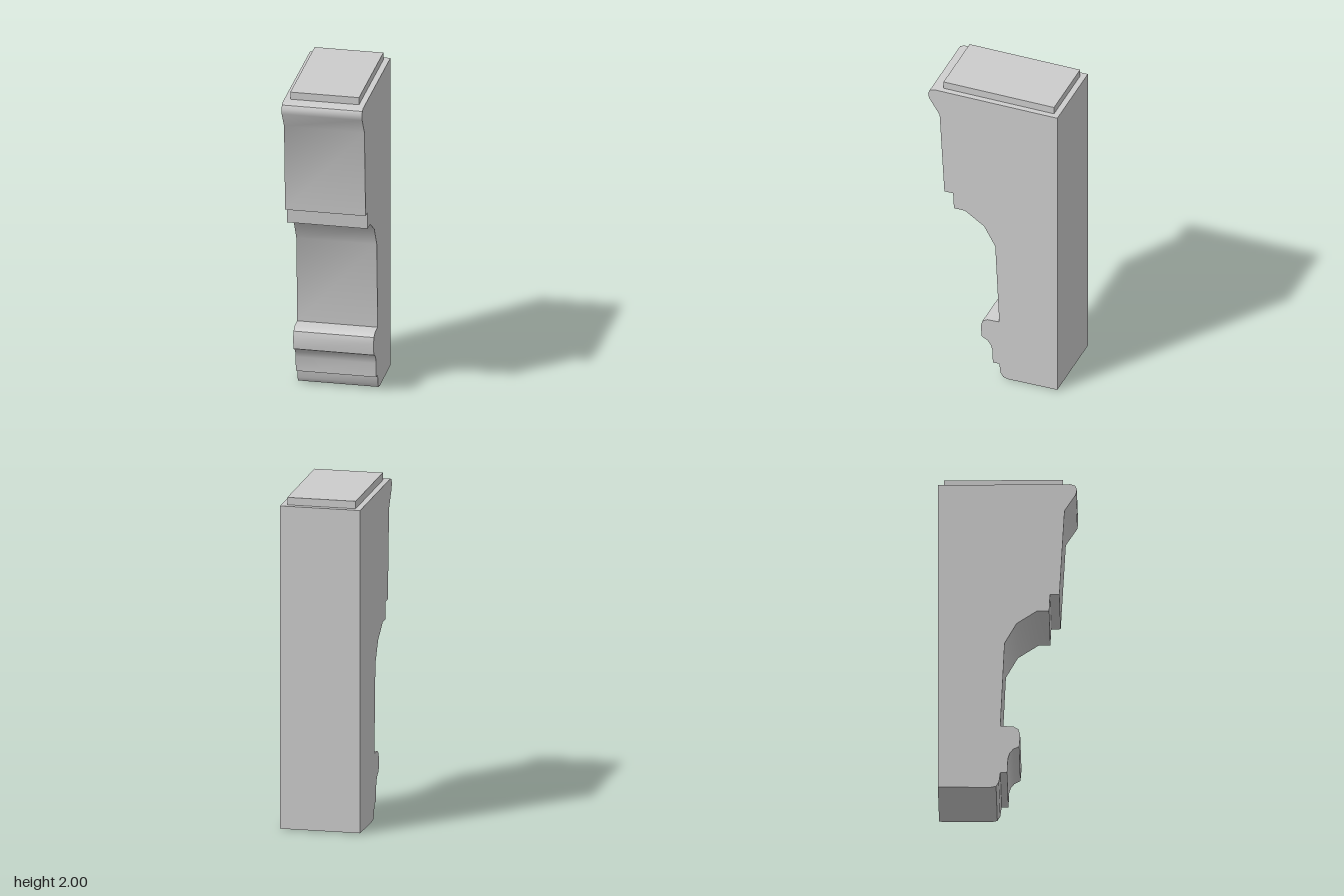
import * as THREE from 'three';
import { toCreasedNormals } from 'three/addons/utils/BufferGeometryUtils.js';

const WIDTH = 0.48;
const BACK = -0.405;

export function createModel() {
  const group = new THREE.Group();
  group.name = 'corbelBracket';
  const material = new THREE.MeshStandardMaterial({ color: 0xcccccc });

  // Side profile as [z, y], from the back bottom corner up the moulded front
  const profile = [
    [BACK, 0.01], [-0.1, 0.005],
    // foot
    [-0.065, 0.012], [-0.048, 0.04], [-0.04, 0.1], [0.0, 0.1],
    // lower moulding and roll
    [0.004, 0.19], [0.015, 0.225], [0.035, 0.25], [0.07, 0.268],
    [0.076, 0.34], [0.066, 0.378], [0.035, 0.397], [-0.04, 0.4],
    // shaft and its flare under the head
    [-0.015, 0.935], [0.055, 1.06], [0.175, 1.14],
    // stepped head
    [0.245, 1.14], [0.25, 1.245], [0.305, 1.245], [0.335, 1.785],
    // crown lip
    [0.402, 1.89], [0.407, 1.92], [0.397, 1.945], [0.37, 1.955],
    [BACK, 1.955],
  ];
  const shape = new THREE.Shape(profile.map(([z, y]) => new THREE.Vector2(z, y)));
  const bodyGeometry = new THREE.ExtrudeGeometry(shape, { depth: WIDTH, bevelEnabled: false });
  bodyGeometry.rotateY(-Math.PI / 2).translate(WIDTH / 2, 0, 0);
  const body = new THREE.Mesh(toCreasedNormals(bodyGeometry, 0.75), material);
  body.name = 'mouldedBody';
  group.add(body);

  // Thin raised plate on top
  const plate = new THREE.Mesh(new THREE.BoxGeometry(0.41, 0.05, 0.695), material);
  plate.name = 'topPlate';
  plate.position.set(0, 1.975, -0.023);
  group.add(plate);

  return group;
}
